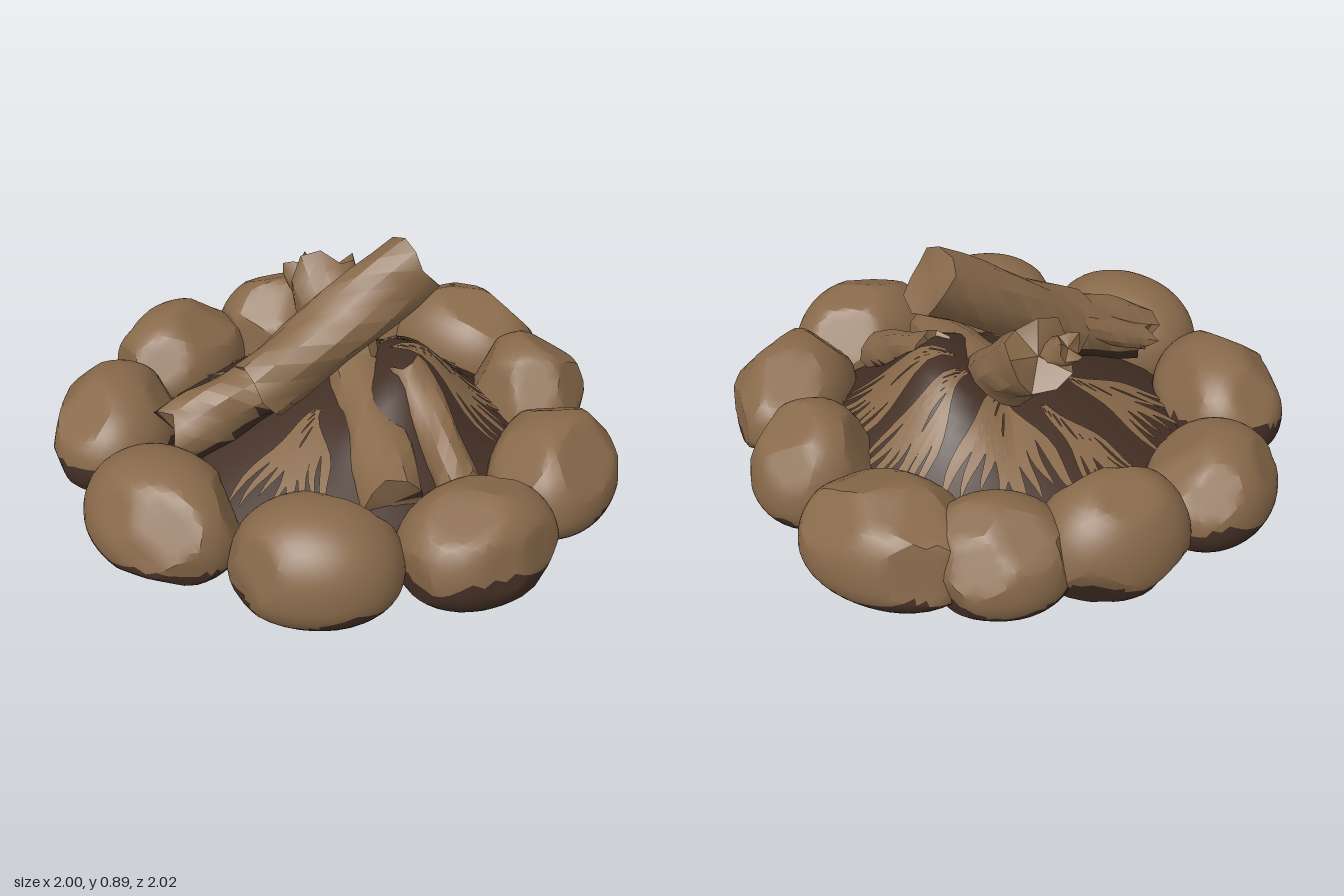
import * as THREE from 'three';
import { toCreasedNormals } from 'three/addons/utils/BufferGeometryUtils.js';

const tan = new THREE.MeshStandardMaterial({ color: 0x88694a, side: THREE.DoubleSide });
tan.name = 'warm brown';
const dark = new THREE.MeshStandardMaterial({ color: 0x432f25, side: THREE.DoubleSide });
dark.name = 'charred brown';

function seeded(seed) {
  let s = seed * 7919 + 17;
  return () => (s = (s * 16807) % 2147483647) / 2147483647;
}

// Move every vertex of a geometry by a rule
function deform(geo, rule) {
  const p = geo.attributes.position, v = new THREE.Vector3();
  for (let i = 0; i < p.count; i++) {
    rule(v.fromBufferAttribute(p, i));
    p.setXYZ(i, v.x, v.y, v.z);
  }
  return geo;
}

// Sort the faces into a tan group and a charred group
function twoTone(name, source, isDark, crease) {
  const geo = toCreasedNormals(source, crease);
  const p = geo.attributes.position, n = geo.attributes.normal;
  const lists = [[], []];
  const c = new THREE.Vector3(), m = new THREE.Vector3(), t = new THREE.Vector3();
  for (let i = 0; i < p.count; i += 3) {
    c.set(0, 0, 0); m.set(0, 0, 0);
    for (let k = 0; k < 3; k++) {
      c.add(t.fromBufferAttribute(p, i + k));
      m.add(t.fromBufferAttribute(n, i + k));
    }
    lists[isDark(c.divideScalar(3), m.normalize()) ? 1 : 0].push(i, i + 1, i + 2);
  }
  geo.setIndex([...lists[0], ...lists[1]]);
  geo.clearGroups();
  geo.addGroup(0, lists[0].length, 0);
  if (lists[1].length) geo.addGroup(lists[0].length, lists[1].length, 1);
  const mesh = new THREE.Mesh(geo, [tan, dark]);
  mesh.name = name;
  return mesh;
}

// Boulder: rounded dome chipped by random planes, flat underneath
function stone(x, z, along, deep, top, soot, seed) {
  const rnd = seeded(seed + 3);
  const chips = Array.from({ length: 9 }, () => ({
    n: new THREE.Vector3(rnd() * 2 - 1, rnd() * 1.2 - 0.3, rnd() * 2 - 1).normalize(),
    d: 0.88 + rnd() * 0.08,
  }));
  const geo = deform(new THREE.IcosahedronGeometry(1, 7), (v) => {
    const q = 2.12;
    const len = Math.pow(Math.abs(v.x) ** q + Math.abs(v.y) ** q + Math.abs(v.z) ** q, 1 / q);
    v.divideScalar(len);
    for (const { n, d } of chips) {
      const over = v.dot(n) - d;
      if (over > 0) v.addScaledVector(n, -over);
    }
    v.x *= along * 1.04;
    v.z *= deep * 1.04;
    v.y = v.y > 0 ? 0.15 + v.y * (top - 0.14) : 0.15 + Math.max(v.y, -0.88) * 0.164;
  });
  geo.rotateY(Math.atan2(x, z));
  geo.translate(x, 0, z);
  return twoTone('stone', geo,
    (c) => c.y < soot + 0.022 * Math.sin(c.x * 17 + seed) + 0.018 * Math.sin(c.z * 23), 0.42);
}

// Log between two points, bumpy sides and splintered ends
function log(name, a, b, r0, r1, seed, jag = 0.03, charred = () => false) {
  const A = new THREE.Vector3(...a), B = new THREE.Vector3(...b);
  const dir = B.clone().sub(A), L = dir.length();
  const geo = deform(new THREE.CylinderGeometry(r1, r0, L, 11, 7), (v) => {
    const th = Math.atan2(v.z, v.x), rad = Math.hypot(v.x, v.z), f = v.y / L;
    const k = 1 + 0.07 * Math.sin(th * 2 + seed + f * 4) + 0.05 * Math.sin(th * 3 - seed + f * 9);
    v.x *= k; v.z *= k;
    if (Math.abs(f) > 0.49) {
      v.y += rad < 0.01 ? -Math.sign(f) * jag * 0.5 : jag * Math.sin(th * 3 + seed * 2);
    }
  });
  geo.applyQuaternion(new THREE.Quaternion().setFromUnitVectors(
    new THREE.Vector3(0, 1, 0), dir.clone().normalize()));
  const mid = A.add(B).multiplyScalar(0.5);
  geo.translate(mid.x, mid.y, mid.z);
  return twoTone(name, geo, charred, 0.6);
}

// Height of the ash mound
const R = 0.67;
function moundY(x, z) {
  const r = Math.hypot(x, z), th = Math.atan2(z, x);
  const ridge = Math.max(0, Math.cos(th + 0.35)) * Math.exp(-(((r - 0.26) / 0.17) ** 2));
  return 0.14 + 0.24 * (1 - (r / R) ** 1.6) + 0.15 * ridge;
}

// Fan lying on the mound: solid heart that breaks into pointed streaks
function fan(x, z, angle, length, spread, seed) {
  const rnd = seeded(seed + 40), pos = [], idx = [], steps = 10, count = 8;
  for (let k = 0; k < count; k++) {
    const a = angle + (k / (count - 1) - 0.5) * spread;
    const reach = length * (0.8 + 0.3 * rnd());
    const base = pos.length / 3;
    for (let i = 0; i <= steps; i++) {
      const t = i / steps, rho = t * reach;
      const half = rho * (spread / count) * 0.64 * Math.min(1, (1 - t) / 0.42) + 0.002;
      const bend = 0.01 * Math.sin(t * 9 + k);
      for (const s of [1, -1]) {
        const px = x + Math.cos(a) * rho - Math.sin(a) * (bend + s * half);
        const pz = z + Math.sin(a) * rho + Math.cos(a) * (bend + s * half);
        pos.push(px, moundY(px, pz) + 0.009, pz);
      }
      if (i < steps) {
        const j = base + i * 2;
        idx.push(j, j + 1, j + 2, j + 1, j + 3, j + 2);
      }
    }
  }
  const geo = new THREE.BufferGeometry();
  geo.setAttribute('position', new THREE.Float32BufferAttribute(pos, 3));
  geo.setIndex(idx);
  geo.computeVertexNormals();
  const mesh = new THREE.Mesh(geo, tan);
  mesh.name = 'kindlingFan';
  return mesh;
}

export function createModel() {
  const model = new THREE.Group();
  model.name = 'campfire';

  // Ring of stones: x, z, half length, half depth, top, soot line
  const ring = new THREE.Group();
  ring.name = 'stoneRing';
  [
    [0.18, -0.775, 0.3, 0.22, 0.39, 0.09],
    [-0.17, -0.765, 0.24, 0.2, 0.37, 0.1],
    [-0.5, -0.58, 0.26, 0.21, 0.4, 0.11],
    [-0.78, -0.23, 0.26, 0.21, 0.37, 0.14],
    [-0.74, 0.33, 0.29, 0.22, 0.38, 0.17],
    [-0.32, 0.74, 0.29, 0.22, 0.38, 0.12],
    [0.24, 0.77, 0.27, 0.22, 0.38, 0.08],
    [0.67, 0.48, 0.27, 0.21, 0.37, 0.16],
    [0.78, -0.02, 0.29, 0.21, 0.38, 0.1],
    [0.55, -0.45, 0.22, 0.21, 0.41, 0.09],
  ].forEach((s, i) => ring.add(stone(...s, i + 1)));
  model.add(ring);

  // Ash mound and its base
  const top = new THREE.RingGeometry(0.001, R, 56, 14).rotateX(-Math.PI / 2);
  deform(top, (v) => { v.y = moundY(v.x, v.z); });
  top.computeVertexNormals();
  const mound = new THREE.Mesh(top, dark);
  mound.name = 'ashMound';
  const base = new THREE.Mesh(new THREE.CylinderGeometry(R, 0.66, 0.09, 40), dark);
  base.name = 'ashBase';
  base.position.y = 0.09;
  model.add(mound, base);

  // Kindling streaks: x, z, direction, length, spread
  [
    [0.0, 0.2, 1.52, 0.42, 0.85],
    [-0.22, 0.06, 3.1, 0.43, 0.9],
    [-0.18, -0.14, -2.6, 0.4, 0.55],
    [-0.03, -0.15, -1.9, 0.46, 1.1],
    [0.08, -0.15, -1.05, 0.47, 0.65],
    [0.14, -0.1, -0.25, 0.48, 0.75],
  ].forEach((f, i) => model.add(fan(...f, i)));

  // Logs leaning over the mound
  const under = (c, n) => n.y < -0.35 && c.y < 0.42;
  const logs = new THREE.Group();
  logs.name = 'logs';
  logs.add(
    log('mainLog', [-0.19, 0.43, 0.29], [0.205, 0.79, -0.16], 0.122, 0.115, 1, 0.014),
    log('mainLogFoot', [-0.4, 0.31, 0.49], [-0.15, 0.46, 0.24], 0.105, 0.115, 4, 0.03, under),
    log('footSplinter', [-0.46, 0.34, 0.4], [-0.2, 0.46, 0.24], 0.045, 0.065, 6, 0.03),
    log('backLog', [0.02, 0.36, -0.06], [-0.2, 0.63, -0.28], 0.105, 0.125, 2, 0.04),
    log('backLogBranch', [-0.16, 0.53, -0.2], [-0.29, 0.65, -0.24], 0.06, 0.055, 8, 0.02),
    log('frontLog', [0.04, 0.37, -0.05], [0.37, 0.21, 0.44], 0.105, 0.11, 3, 0.015, under),
    log('sideLog', [0.24, 0.44, -0.02], [0.54, 0.21, 0.27], 0.07, 0.08, 5, 0.025, under),
  );
  model.add(logs);
  return model;
}
